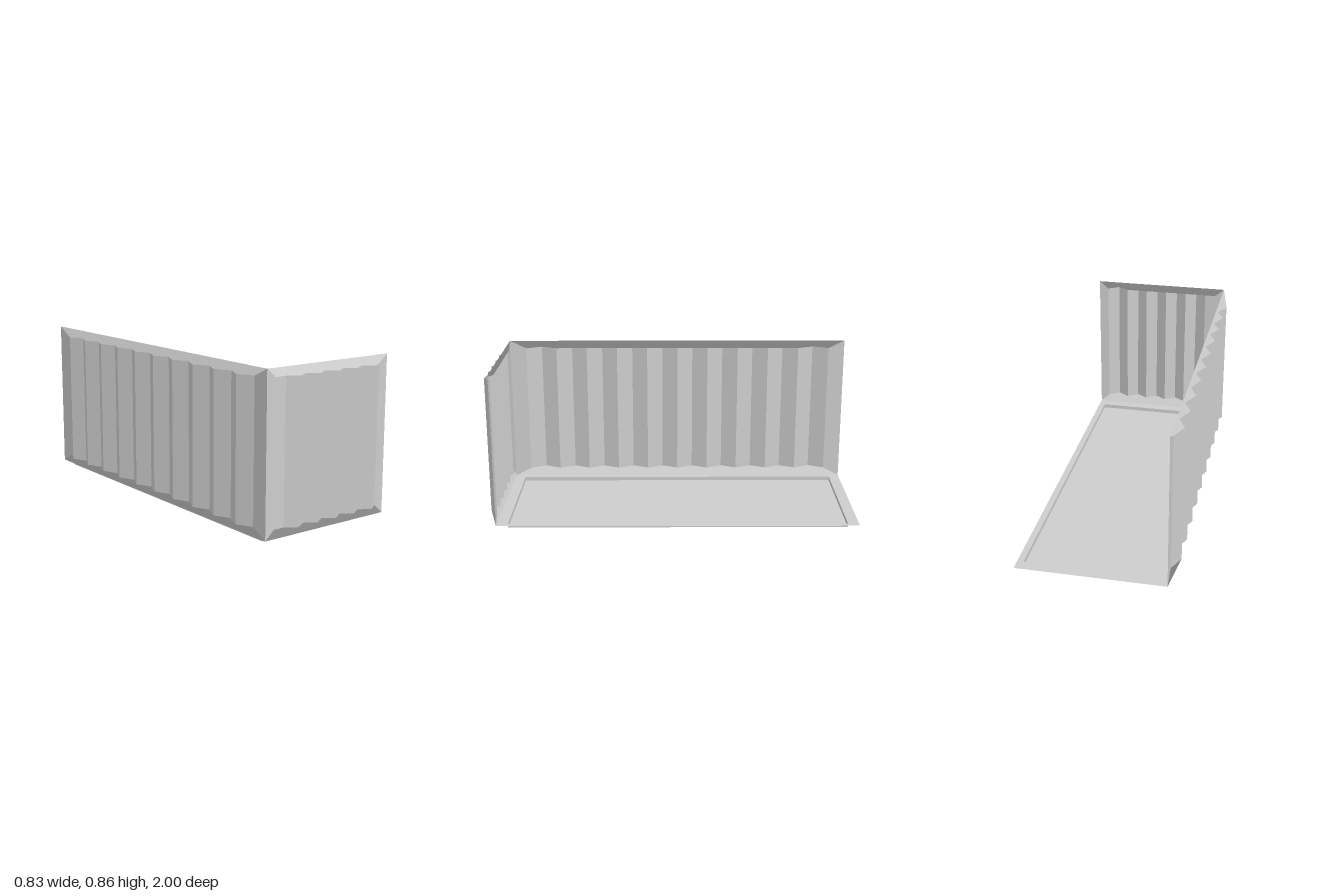
import * as THREE from 'three';

const paint = new THREE.MeshStandardMaterial({ color: 0xcccccc, side: THREE.DoubleSide });
paint.name = 'light grey paint';

const RIM = 0.022, TOP = 0.86, LOW = 0.07, HIGH = 0.815, DEPTH = 0.04;
const BACK = -1, FRONT = 0.96, RIGHT = -0.375, LEFT = 0.414;

// Mesh from triangles; each triangle may carry one shared face normal.
function sheet(name, tris, normal) {
  const geo = new THREE.BufferGeometry().setFromPoints(tris.flat());
  if (normal) {
    const list = tris.flatMap(() => [normal, normal, normal].flatMap(n => n.toArray()));
    geo.setAttribute('normal', new THREE.Float32BufferAttribute(list, 3));
  } else geo.computeVertexNormals();
  const mesh = new THREE.Mesh(geo, paint);
  mesh.name = name;
  return mesh;
}
const quad = (a, b, c, d) => [[a, b, c], [a, c, d]];

// Wall in local terms: u along the wall, y up, d outward.
// profile: [u, d] points of the corrugation; flatStart: it begins with a flat strip.
function wall(name, u0, u1, profile, flatStart, place) {
  const group = new THREE.Group();
  group.name = name;
  const n = profile.length - 1;
  const zero = place(0, 0, 0);

  // corrugated panel
  const panel = [];
  for (let i = 0; i < n; i++) {
    const [a, da] = profile[i], [b, db] = profile[i + 1];
    panel.push(...quad(place(a, LOW, da), place(b, LOW, db), place(b, HIGH, db), place(a, HIGH, da)));
  }
  group.add(sheet('corrugatedPanel', panel));

  // upright edges
  const s = profile[0][0], e = profile[n][0];
  group.add(sheet('uprightEdges', [
    ...quad(place(u0, RIM, 0), place(s, LOW, 0), place(s, HIGH, 0), place(u0, TOP, 0)),
    ...quad(place(e, LOW, 0), place(u1, RIM, 0), place(u1, TOP, 0), place(e, HIGH, 0)),
  ]));

  // top and bottom rails, closing over the ridges
  for (const up of [1, -1]) {
    const yIn = up > 0 ? HIGH : LOW, yOut = up > 0 ? TOP : RIM;
    const p = profile.map(([u, d]) => place(u, yIn, d));
    const A = place(u0, yOut, 0), B = place(u1, yOut, 0);
    const first = flatStart ? 1 : 2, last = n - 2;
    const tris = [];
    for (let i = 0; i < first; i++) tris.push([A, p[i], p[i + 1]]);
    for (let i = last; i < n; i++) tris.push([B, p[i], p[i + 1]]);
    for (let i = first; i < last; i += 2) tris.push([p[i], p[i + 1], p[i + 2]]);
    tris.push([A, p[first], p[last]], [A, p[last], B]);
    if (up < 0) tris.forEach(t => t.reverse());
    const normal = place(0, up * 0.55, 0.83).sub(zero).normalize();
    group.add(sheet(up > 0 ? 'topRail' : 'bottomRail', tris, normal));
  }
  return group;
}

// Valley, ridge, valley ... between two ends
function zigzag(start, end, ridges) {
  return Array.from({ length: ridges * 2 + 1 }, (_, i) =>
    [start + (end - start) * i / (ridges * 2), i % 2 ? DEPTH : 0]);
}

// Rectangle corners in the ground plane
const rect = (x0, x1, z0, z1, y) =>
  [[x0, z0], [x0, z1], [x1, z1], [x1, z0]].map(([x, z]) => new THREE.Vector3(x, y, z));

export function createModel() {
  const model = new THREE.Group();
  model.name = 'openContainer';

  // floor: flat rim, short step, sunken plate
  const outer = rect(RIGHT, LEFT, BACK, FRONT, RIM);
  const lip = rect(-0.342, 0.38, -0.94, 0.9, RIM);
  const base = rect(-0.342, 0.38, -0.94, 0.9, 0);
  const ring = (a, b) => a.flatMap((_, i) => {
    const j = (i + 1) % 4;
    return quad(a[i], a[j], b[j], b[i]);
  });
  model.add(sheet('floorRim', ring(outer, lip)));
  model.add(sheet('floorStep', ring(lip, base)));
  model.add(sheet('floorPlate', quad(...base)));

  // end wall at the front, long wall on the model's right
  model.add(wall('frontWall', RIGHT, LEFT, [[-0.322, 0], ...zigzag(-0.26, 0.36, 5)], true,
    (u, y, d) => new THREE.Vector3(u, y, FRONT + d)));
  model.add(wall('rightWall', BACK, FRONT, zigzag(-0.908, 0.868, 10), false,
    (u, y, d) => new THREE.Vector3(RIGHT - d, y, u)));
  return model;
}
